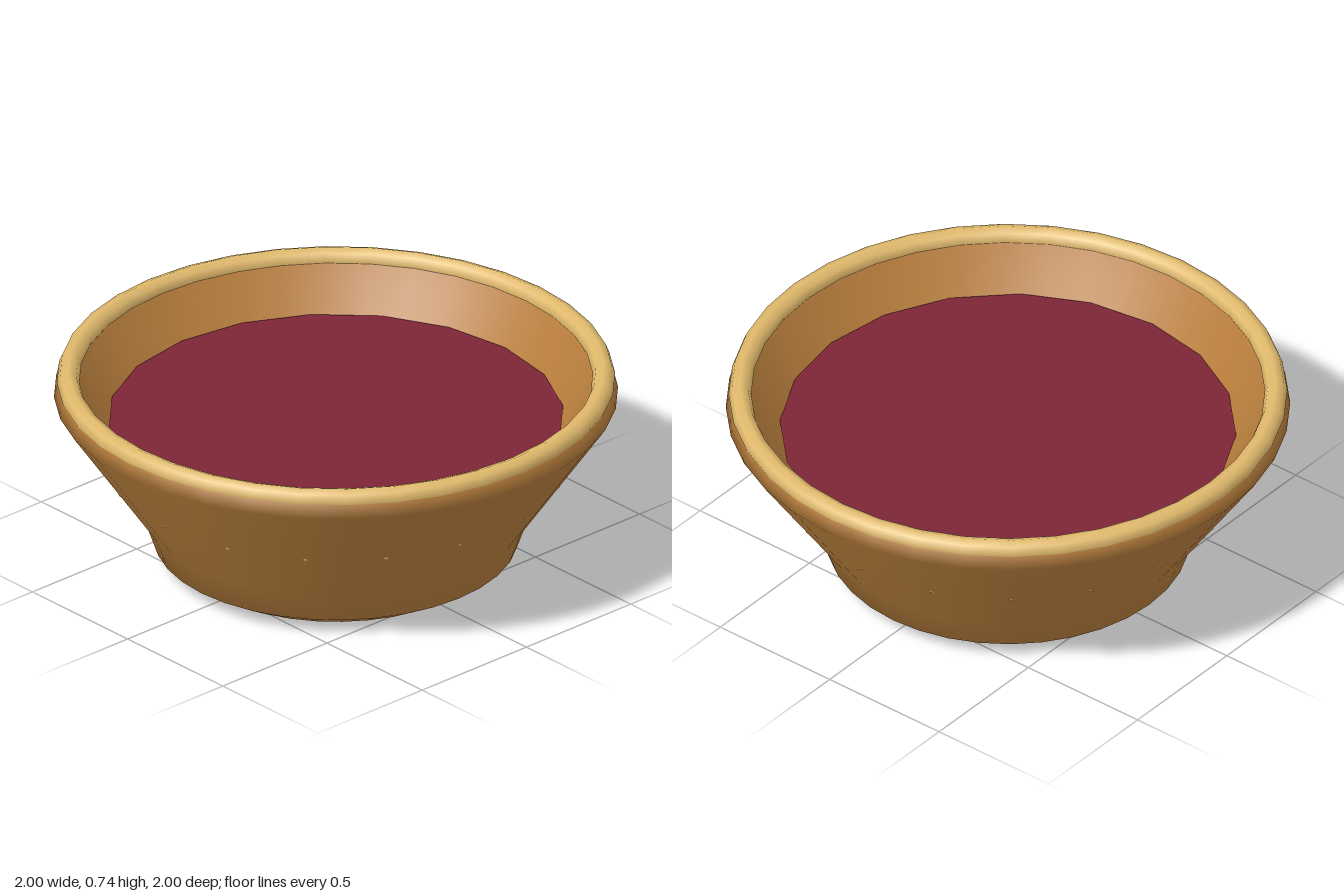
import * as THREE from 'three';

const SEGMENTS = 36;

export function createModel() {
  const model = new THREE.Group();
  model.name = 'bowl';
  const wood = new THREE.MeshStandardMaterial({ name: 'brown wood', color: 0xb87e3c });
  const tan = new THREE.MeshStandardMaterial({ name: 'pale tan', color: 0xe0b96c });
  const wine = new THREE.MeshStandardMaterial({ name: 'dark red', color: 0x7d2537 });

  const add = (name, geometry, material, parent = model) => {
    const mesh = new THREE.Mesh(geometry, material);
    mesh.name = name;
    parent.add(mesh);
    return mesh;
  };

  // Bowl shell: up the outside, over the lip, down the inside
  const profile = [
    [0, 0], [0.54, 0], [0.645, 0.06], [0.685, 0.177], [1, 0.64], [0.985, 0.7],
    [0.955, 0.72], [0.925, 0.715], [0.912, 0.69], [0.88, 0.64], [0.6, 0.2], [0.5, 0.12], [0, 0.1],
  ].map(([r, y]) => new THREE.Vector2(r, y));
  add('bowlShell', new THREE.LatheGeometry(profile, SEGMENTS), wood);

  // Rounded rim
  const rim = add('rim', new THREE.TorusGeometry(0.95, 0.04, 8, SEGMENTS), tan);
  rim.rotation.x = Math.PI / 2;
  rim.position.y = 0.695;

  // Liquid surface
  const liquid = add('liquid', new THREE.CircleGeometry(0.81, 20), wine);
  liquid.rotation.x = -Math.PI / 2;
  liquid.position.y = 0.54;

  // Ring of small studs, mostly sunk into the outside
  const studs = new THREE.Group();
  studs.name = 'studs';
  model.add(studs);
  const studGeometry = new THREE.SphereGeometry(0.014, 8, 6);
  for (let i = 0; i < 18; i++) {
    const a = (i / 18) * Math.PI * 2;
    const stud = add('stud', studGeometry, tan, studs);
    stud.position.set(Math.cos(a) * 0.819, 0.394, Math.sin(a) * 0.819);
  }
  return model;
}
